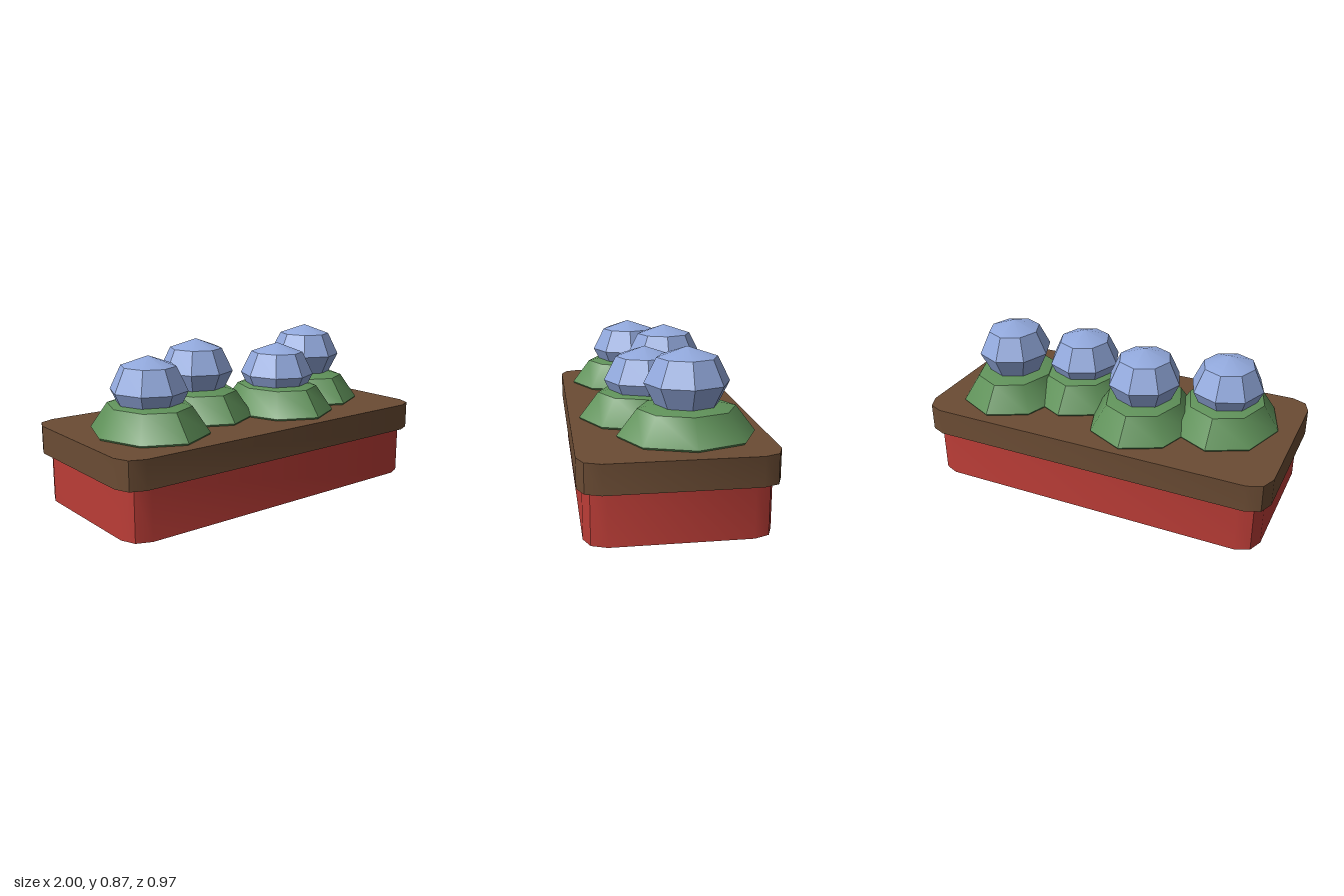
import * as THREE from 'three';
import { toCreasedNormals } from 'three/addons/utils/BufferGeometryUtils.js';

const CREASE = 0.66;

const red = new THREE.MeshStandardMaterial({ color: 0xbc3d37 });
red.name = 'red planter';
const brown = new THREE.MeshStandardMaterial({ color: 0x6b4c34 });
brown.name = 'brown rim';
const green = new THREE.MeshStandardMaterial({ color: 0x60925a });
green.name = 'green leaves';
const blue = new THREE.MeshStandardMaterial({ color: 0x92a9dd });
blue.name = 'blue blossom';

// Upright slab with corners rounded in two steps
function slab(name, halfX, halfZ, radius, bottom, top, material) {
  const points = [];
  for (let corner = 0; corner < 4; corner++) {
    const sx = corner === 0 || corner === 3 ? 1 : -1;
    const sz = corner < 2 ? 1 : -1;
    for (let i = 0; i <= 2; i++) {
      const a = (corner + i / 2) * Math.PI / 2;
      points.push(new THREE.Vector2(
        sx * (halfX - radius) + radius * Math.cos(a),
        sz * (halfZ - radius) + radius * Math.sin(a)));
    }
  }
  const geometry = new THREE.ExtrudeGeometry(new THREE.Shape(points), { depth: top - bottom, bevelEnabled: false });
  geometry.rotateX(-Math.PI / 2).translate(0, bottom, 0);
  const mesh = new THREE.Mesh(toCreasedNormals(geometry, CREASE), material);
  mesh.name = name;
  return mesh;
}

// Eight-sided faceted ball stretched to three radii
function ball(name, rx, ry, rz, y, material) {
  const geometry = new THREE.SphereGeometry(1, 8, 4).scale(rx, ry, rz);
  const mesh = new THREE.Mesh(toCreasedNormals(geometry, CREASE), material);
  mesh.name = name;
  mesh.position.y = y;
  return mesh;
}

export function createModel() {
  const model = new THREE.Group();
  model.name = 'flowerBox';

  // Planter box and its overhanging rim with soil level
  model.add(slab('planterBox', 0.96, 0.457, 0.11, 0, 0.27, red));
  model.add(slab('planterRim', 1, 0.484, 0.11, 0.27, 0.42, brown));

  // Four plants: x, z and height of the blossom's middle
  const plants = [
    [-0.61, 0.07, 0.64],
    [-0.195, -0.095, 0.673],
    [0.25, 0.08, 0.63],
    [0.615, -0.08, 0.691],
  ];
  for (const [x, z, y] of plants) {
    const plant = new THREE.Group();
    plant.name = 'plant';
    plant.position.set(x, 0, z);
    plant.add(ball('leafMound', 0.295, 0.19, 0.35, 0.43, green));
    plant.add(ball('blossom', 0.199, 0.176, 0.215, y, blue));
    model.add(plant);
  }
  return model;
}
